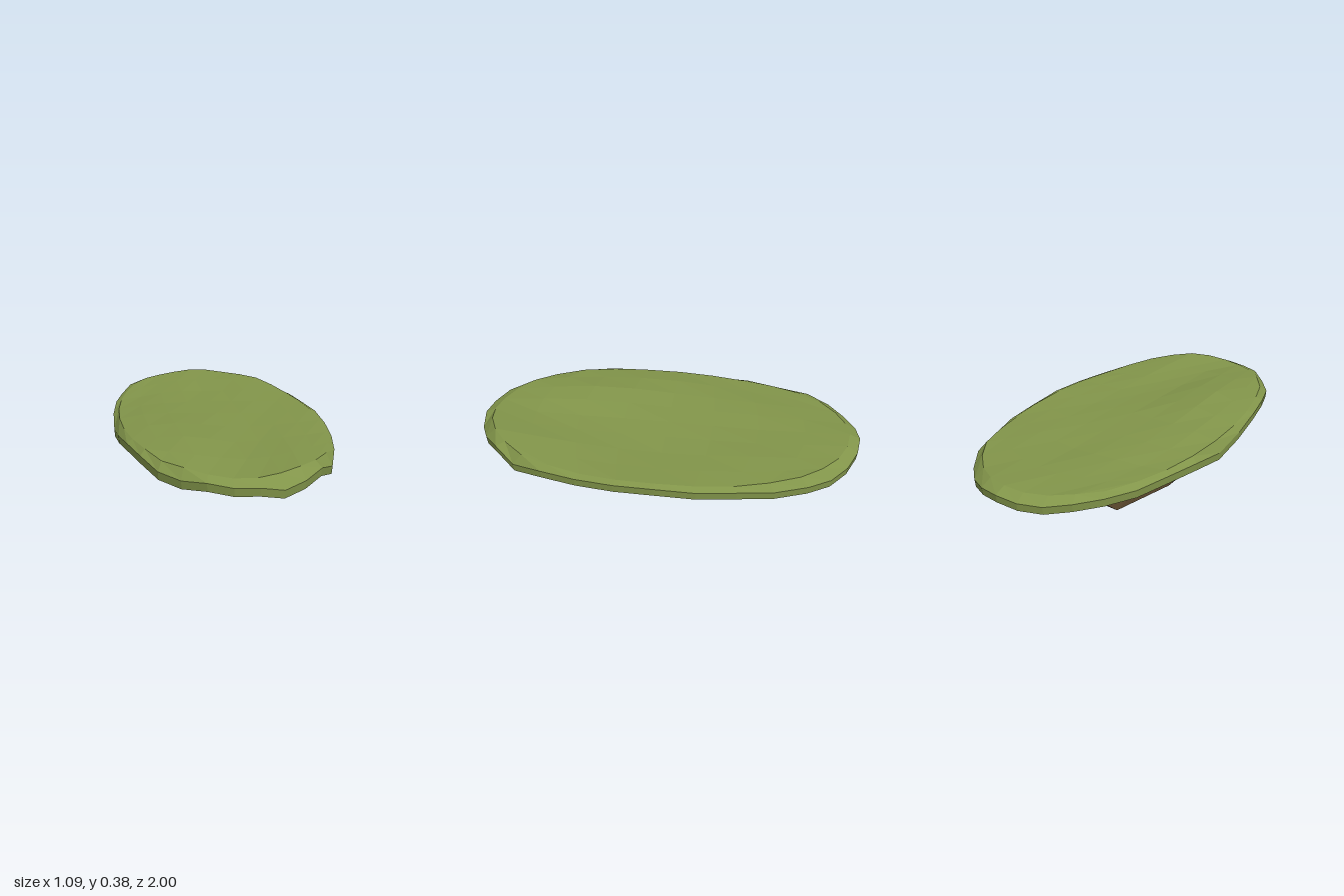
import * as THREE from 'three';

const N = 8; // grid cells per side
const RX = 0.547, RZ = 1;

// Maps square coordinates (s, t in -1..1) onto a rounded oval, evening out the rim spacing.
function oval(s, t, scale, y) {
  const k = 0.46, rim = 0.1 * Math.max(Math.abs(s), Math.abs(t)) ** 4;
  const u = s * (1 + rim * (1 - s * s)), v = t * (1 + rim * (1 - t * t));
  return [u * Math.sqrt(1 - k * v * v) * RX * scale, y, v * Math.sqrt(1 - k * u * u) * RZ * scale];
}

// The 32 border points of the square, from front centre towards +x.
const border = [];
for (let k = 0; k < 4 * N; k++) {
  const side = Math.floor(((k + N / 2) % (4 * N)) / N);
  const a = ((k + N / 2) % N) / (N / 2) - 1;
  border.push([[a, 1], [1, -a], [-a, -1], [-1, a]][side]);
}

function makeMesh(name, points, index, color) {
  const geometry = new THREE.BufferGeometry();
  geometry.setAttribute('position', new THREE.Float32BufferAttribute(points.flat(), 3));
  geometry.setIndex(index);
  const flat = geometry.toNonIndexed();
  flat.computeVertexNormals();
  const mesh = new THREE.Mesh(flat, new THREE.MeshStandardMaterial({ color, flatShading: true }));
  mesh.name = name;
  return mesh;
}

// Oval sheet of 8 x 8 quads; height(s, t, column, row) gives y.
function sheet(name, scale, height, down, color) {
  const points = [], index = [];
  for (let j = 0; j <= N; j++) {
    for (let i = 0; i <= N; i++) {
      const s = i / 4 - 1, t = j / 4 - 1;
      points.push(oval(s, t, scale, height(s, t, i, j)));
      if (i === N || j === N) continue;
      const a = j * (N + 1) + i, b = a + N + 1, c = b + 1, d = a + 1;
      index.push(...(down ? [a, d, b, b, d, c] : [a, b, d, b, c, d]));
    }
  }
  return makeMesh(name, points, index, color);
}

const bump = (ds, dt, fs, ft) => Math.exp(-ds * ds * fs - dt * dt * ft);

// Rolling turf: a hill on the front right, small rises along the rim.
function turfHeight(s, t) {
  return 0.338
    + 0.042 * bump(s + 0.5, t - 0.4, 5, 2.5)
    + 0.03 * bump(s - 0.5, t - 1, 8, 8)
    + 0.02 * bump(s + 1, t - 0.8, 8, 6)
    + 0.014 * bump(s, t + 1, 1, 6)
    + 0.004 * Math.sin(s * 7 + 1) * Math.cos(t * 6);
}

// Height of the lower edge of the turf, around the border.
const edgeY = [
  0.285, 0.26, 0.275, 0.295, 0.255, 0.275, 0.28, 0.285, 0.29, 0.28, 0.28, 0.265, 0.265, 0.25, 0.26, 0.28,
  0.29, 0.28, 0.275, 0.285, 0.29, 0.28, 0.285, 0.275, 0.25, 0.28, 0.305, 0.305, 0.285, 0.28, 0.295, 0.285,
];

// Rock heights inside the rim: rows from back to front, columns from -x to +x.
const rockY = [
  [0.28, 0.26, 0.27, 0.25, 0.27, 0.28, 0.29],
  [0.24, 0.06, 0.20, 0.08, 0.19, 0.23, 0.27],
  [0.14, 0.13, 0.14, 0.015, 0.12, 0.085, 0.25],
  [0.17, 0.13, 0.00, 0.01, 0.13, 0.18, 0.25],
  [0.21, 0.17, 0.11, 0.08, 0.09, 0.21, 0.25],
  [0.25, 0.22, 0.16, 0.11, 0.18, 0.24, 0.27],
  [0.27, 0.24, 0.22, 0.19, 0.24, 0.27, 0.29],
];

export function createModel() {
  const island = new THREE.Group();
  island.name = 'floatingIsland';
  const green = 0x82954a, brown = 0x7b6340;
  const topScale = 0.945, lipScale = 0.94, lipY = 0.3;

  island.add(sheet('grassTop', topScale, turfHeight, false, green));

  // Turf edge: bevel, outer wall and underside lip
  const points = [], index = [], n = border.length;
  border.forEach(([s, t], k) => {
    points.push(
      oval(s, t, topScale, turfHeight(s, t)),
      oval(s, t, 1, edgeY[k] + 0.04),
      oval(s, t, 0.995, edgeY[k]),
      oval(s, t, lipScale, lipY),
    );
    const next = ((k + 1) % n) * 4;
    for (let r = 0; r < 3; r++) {
      const a = k * 4 + r, d = next + r;
      index.push(a, a + 1, d + 1, a, d + 1, d);
    }
  });
  island.add(makeMesh('grassEdge', points, index, green));

  // Jagged rock hanging below the turf
  const rockHeight = (s, t, i, j) => rockY[j - 1]?.[i - 1] ?? lipY;
  island.add(sheet('rockUnderside', lipScale, rockHeight, true, brown));
  return island;
}
